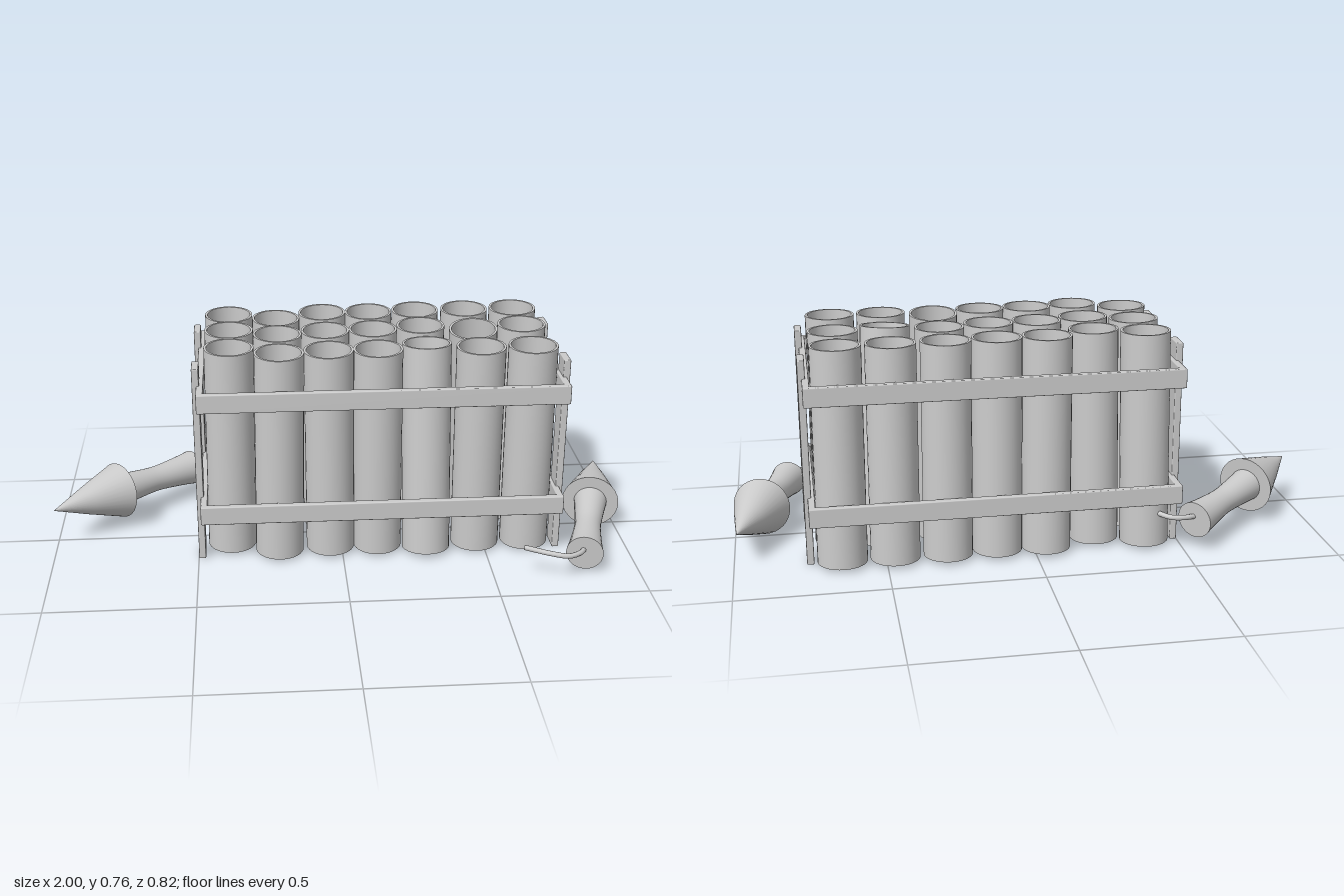
import * as THREE from 'three';
import { RoundedBoxGeometry } from 'three/addons/geometries/RoundedBoxGeometry.js';

const UP = new THREE.Vector3(0, 1, 0);
const grey = new THREE.MeshStandardMaterial({ color: 0xcccccc, side: THREE.DoubleSide });

function add(parent, name, geometry) {
  const mesh = new THREE.Mesh(geometry, grey);
  mesh.name = name;
  parent.add(mesh);
  return mesh;
}

// Lathe with hard edges: every profile segment gets its own surface
function lathe(parent, name, segments) {
  const group = new THREE.Group();
  group.name = name;
  parent.add(group);
  for (const pts of segments) {
    add(group, name + 'Surface', new THREE.LatheGeometry(pts.map(p => new THREE.Vector2(...p)), 32));
  }
  return group;
}

// Stand an upright part between two points
function aim(object, from, to) {
  object.position.copy(from);
  object.quaternion.setFromUnitVectors(UP, to.clone().sub(from).normalize());
}

// Launch tube: closed bottom, thin rim, hollow inside
function tube(parent, top, bottom) {
  const h = top.distanceTo(bottom), r = 0.083, ri = 0.075;
  const t = lathe(parent, 'launchTube', [
    [[0, 0], [r, 0]],
    [[r, 0], [r, h]],
    [[r, h], [ri, h]],
    [[ri, h], [0.067, 0.02]],
    [[0.067, 0.02], [0, 0.02]],
  ]);
  aim(t, bottom, top);
}

// Firework rocket: waisted body, cone head and bent fuse
function rocket(parent, name, tail, base, tip) {
  const group = new THREE.Group();
  group.name = name;
  parent.add(group);
  const n = tail.distanceTo(base);
  const body = new THREE.SplineCurve([
    [0.063, 0], [0.055, 0.06], [0.046, 0.16], [0.048, 0.23], [0.058, n],
  ].map(p => new THREE.Vector2(...p))).getPoints(16).map(p => [p.x, p.y]);
  const b = lathe(group, 'rocketBody', [[[0, 0], [0.063, 0]], body]);
  aim(b, tail, base);

  const c = lathe(group, 'rocketCone', [
    [[0, 0], [0.1, 0]],
    [[0.1, 0], [0.052, base.distanceTo(tip) * 0.5], [0, base.distanceTo(tip)]],
  ]);
  aim(c, base, tip);

  // Fuse leaves the tail and bends to the rocket's left
  const f = base.clone().sub(tail).setY(0).normalize();
  const left = new THREE.Vector3(f.z, 0, -f.x);
  const at = (forward, side, y) => tail.clone().addScaledVector(f, forward)
    .addScaledVector(left, side).setY(tail.y + y);
  const path = new THREE.CatmullRomCurve3([
    at(0.02, 0, 0.01), at(-0.03, 0.015, 0.015), at(-0.066, 0.05, 0.018),
    at(-0.075, 0.105, 0.025), at(-0.073, 0.15, 0.03), at(-0.073, 0.2, 0.038),
  ]);
  add(group, 'fuse', new THREE.TubeGeometry(path, 24, 0.009, 10));
}

export function createModel() {
  const model = new THREE.Group();
  model.name = 'fireworkCrate';

  // Tubes in three rows of seven, each leaning a little
  const tubes = new THREE.Group();
  tubes.name = 'launchTubes';
  model.add(tubes);
  const rowZ = [
    [-0.25, -0.2, -0.255, -0.25, -0.26, -0.26, -0.26],
    [-0.085, -0.035, -0.06, -0.065, -0.09, -0.04, -0.08],
    [0.09, 0.15, 0.135, 0.135, 0.09, 0.135, 0.135],
  ];
  const rowX = [-0.375, -0.21, -0.045, 0.12, 0.288, 0.465, 0.64];
  rowZ.forEach((row, r) => row.forEach((z, c) => {
    const lean = [-0.02, -0.015, -0.015][r];
    let dx = c < 2 ? -0.008 : 0.005, dz = lean;
    if (r === 2 && c === 4) dz = 0.06;
    if (r === 1 && c === 5) { dx = 0.03; dz = -0.1; }
    tube(tubes, new THREE.Vector3(rowX[c], 0.752, z), new THREE.Vector3(rowX[c] + dx, 0.018, z + dz));
  }));

  // Two rail frames around the tubes
  const x0 = -0.485, x1 = 0.75, z0 = -0.38, z1 = 0.26, t = 0.023;
  const box = (name, w, h, d, x, y, z) =>
    add(model, name, new RoundedBoxGeometry(w, h, d, 1, 0.004)).position.set(x, y, z);
  for (const y of [0.212, 0.617]) {
    for (const z of [z0 + t / 2, z1 - t / 2]) box('longRail', x1 - x0, 0.066, t, (x0 + x1) / 2, y, z);
    for (const x of [x0 + t / 2, x1 - t / 2]) box('endRail', t, 0.064, z1 - z0 - t, x, y, (z0 + z1) / 2);
  }
  // Upright slats on both ends
  for (const x of [-0.487, 0.75]) {
    for (const z of [0.135, -0.235]) box('upright', 0.024, 0.702, 0.081, x, 0.358, z);
  }

  // Loose rockets on either side
  const v = (x, y, z) => new THREE.Vector3(x, y, z);
  rocket(model, 'leftRocket', v(0.81, 0.077, 0.355), v(0.905, 0.105, 0.025), v(0.985, 0.13, -0.268));
  rocket(model, 'rightRocket', v(-0.535, 0.11, -0.36), v(-0.79, 0.132, -0.133), v(-1, 0.155, 0.065));
  return model;
}
